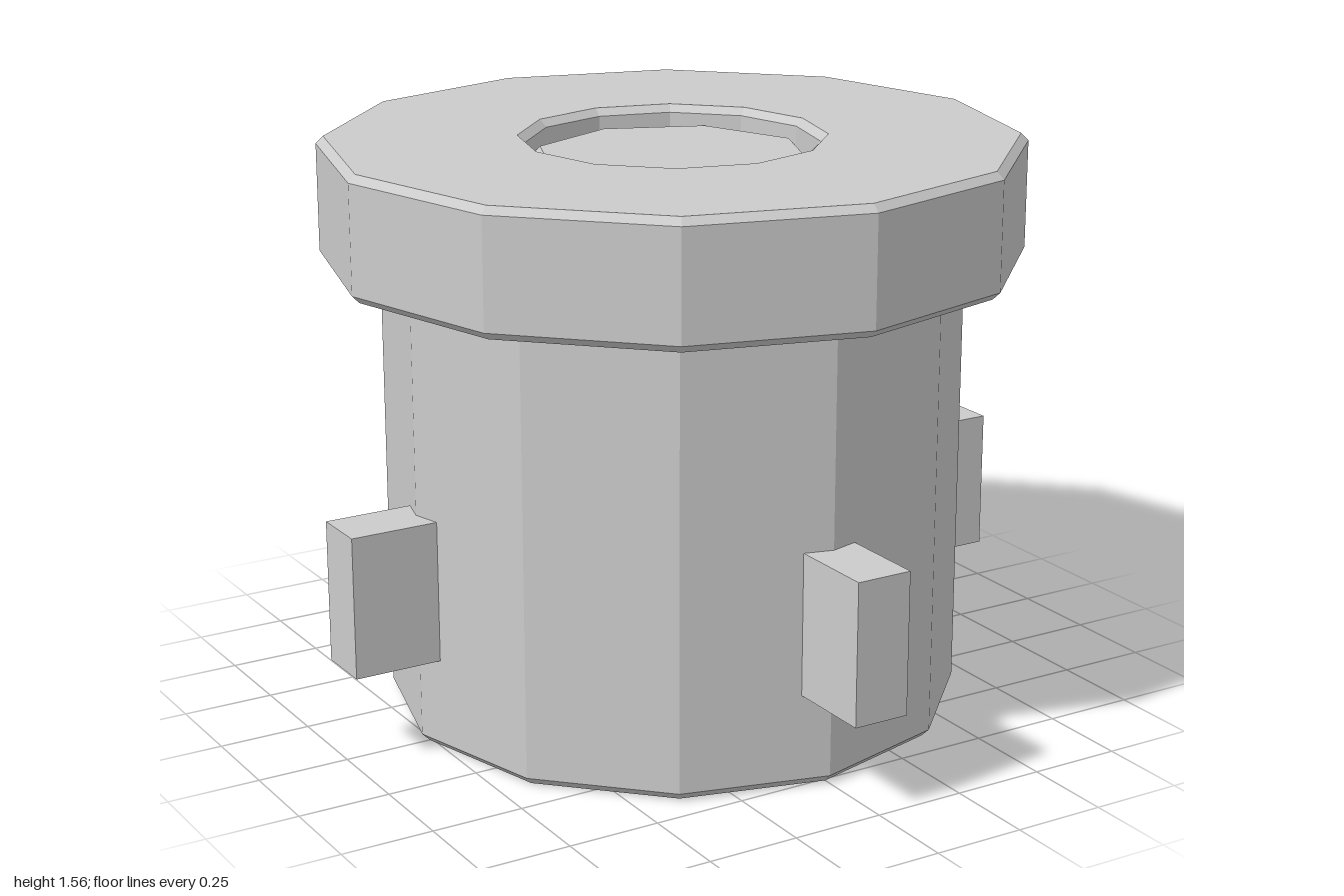
import * as THREE from 'three';

const material = new THREE.MeshStandardMaterial({ color: 0xcccccc, flatShading: true });

function add(group, name, geometry) {
  const mesh = new THREE.Mesh(geometry, material);
  mesh.name = name;
  group.add(mesh);
  return mesh;
}

// Faceted ring with chamfered rims; the profile runs up the outside and down the bore.
function chamferedRing(outer, inner, y0, y1, c, sides) {
  const profile = [
    [outer - c, y0], [outer, y0 + c], [outer, y1 - c], [outer - c, y1],
    [inner + c, y1], [inner, y1 - c], [inner, y0 + c], [inner + c, y0],
    [outer - c, y0],
  ].map(([r, y]) => new THREE.Vector2(r, y));
  return new THREE.LatheGeometry(profile, sides);
}

// Solid faceted plug with chamfered rims.
function chamferedPlug(radius, y0, y1, c, sides) {
  const profile = [
    [0, y0], [radius - c, y0], [radius, y0 + c],
    [radius, y1 - c], [radius - c, y1], [0, y1],
  ].map(([r, y]) => new THREE.Vector2(r, y));
  return new THREE.LatheGeometry(profile, sides);
}

export function createModel() {
  const model = new THREE.Group();
  model.name = 'flangedBushing';

  // Hollow barrel and the wider collar on top of it
  add(model, 'barrel', chamferedRing(0.78, 0.45, 0, 1.26, 0.022, 12));
  add(model, 'collar', chamferedRing(0.94, 0.39, 1.23, 1.56, 0.02, 12));

  // Eight-sided core, recessed just below the collar's top
  add(model, 'core', chamferedPlug(0.385, 0.62, 1.51, 0.02, 8));

  // Two crossing bars whose ends stick out as four lugs
  for (const [name, angle] of [['crossBarX', 0], ['crossBarZ', Math.PI / 2]]) {
    const bar = add(model, name, new THREE.BoxGeometry(2, 0.385, 0.155));
    bar.position.y = 0.447;
    bar.rotation.y = angle;
  }

  return model;
}
